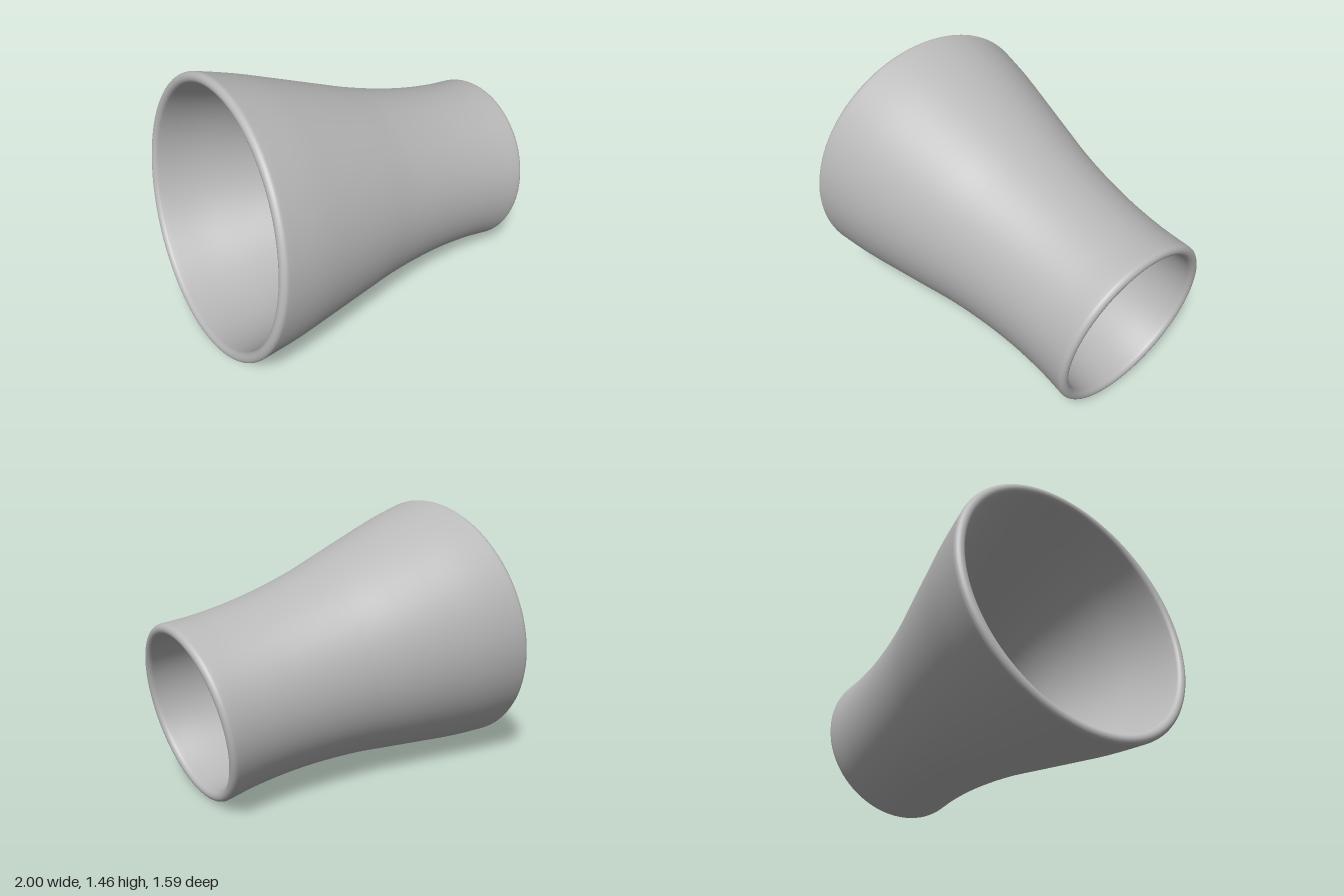
import * as THREE from 'three';

const WALL = 0.028; // half the wall thickness

// [position along axis, radius] of the middle of the wall, wide end first
const CENTRE_LINE = [
  [-0.84, 0.71], [-0.64, 0.674], [-0.42, 0.622], [-0.19, 0.566], [0.025, 0.515],
  [0.245, 0.477], [0.46, 0.453], [0.67, 0.445], [0.84, 0.451],
];

// Closed wall section: outer skin, rounded narrow rim, inner skin, rounded wide rim
function wallSection() {
  const curve = new THREE.SplineCurve(CENTRE_LINE.map(([s, r]) => new THREE.Vector2(r, s)));
  const steps = 40, capSteps = 10;
  const section = [];
  const add = (t, turn) => {
    const p = curve.getPoint(t), d = curve.getTangent(t);
    const angle = Math.atan2(-d.x, d.y) + turn;
    section.push(new THREE.Vector2(p.x + WALL * Math.cos(angle), p.y + WALL * Math.sin(angle)));
  };
  for (let i = steps / 2; i <= steps; i++) add(i / steps, 0);
  for (let i = 1; i < capSteps; i++) add(1, (Math.PI * i) / capSteps);
  for (let i = steps; i >= 0; i--) add(i / steps, Math.PI);
  for (let i = 1; i < capSteps; i++) add(0, Math.PI + (Math.PI * i) / capSteps);
  for (let i = 0; i <= steps / 2; i++) add(i / steps, 0);
  return section;
}

export function createModel() {
  const group = new THREE.Group();
  group.name = 'flaredSleeve';
  const grey = new THREE.MeshStandardMaterial({ color: 0xb8b8b8 });
  grey.name = 'grey';

  // Hollow flared tube lying on a tilted axis, narrow end to the left and front
  const tube = new THREE.Mesh(new THREE.LatheGeometry(wallSection(), 128), grey);
  tube.name = 'flaredTube';
  const axis = new THREE.Vector3(0.958, -0.155, 0.242).normalize();
  tube.quaternion.setFromUnitVectors(new THREE.Vector3(0, 1, 0), axis);
  tube.position.set(0.04, 0.608, 0.12);
  group.add(tube);

  // Settle on the ground, centred
  const box = new THREE.Box3().setFromObject(group, true);
  const c = box.getCenter(new THREE.Vector3());
  tube.position.sub(new THREE.Vector3(c.x, box.min.y, c.z));
  return group;
}
